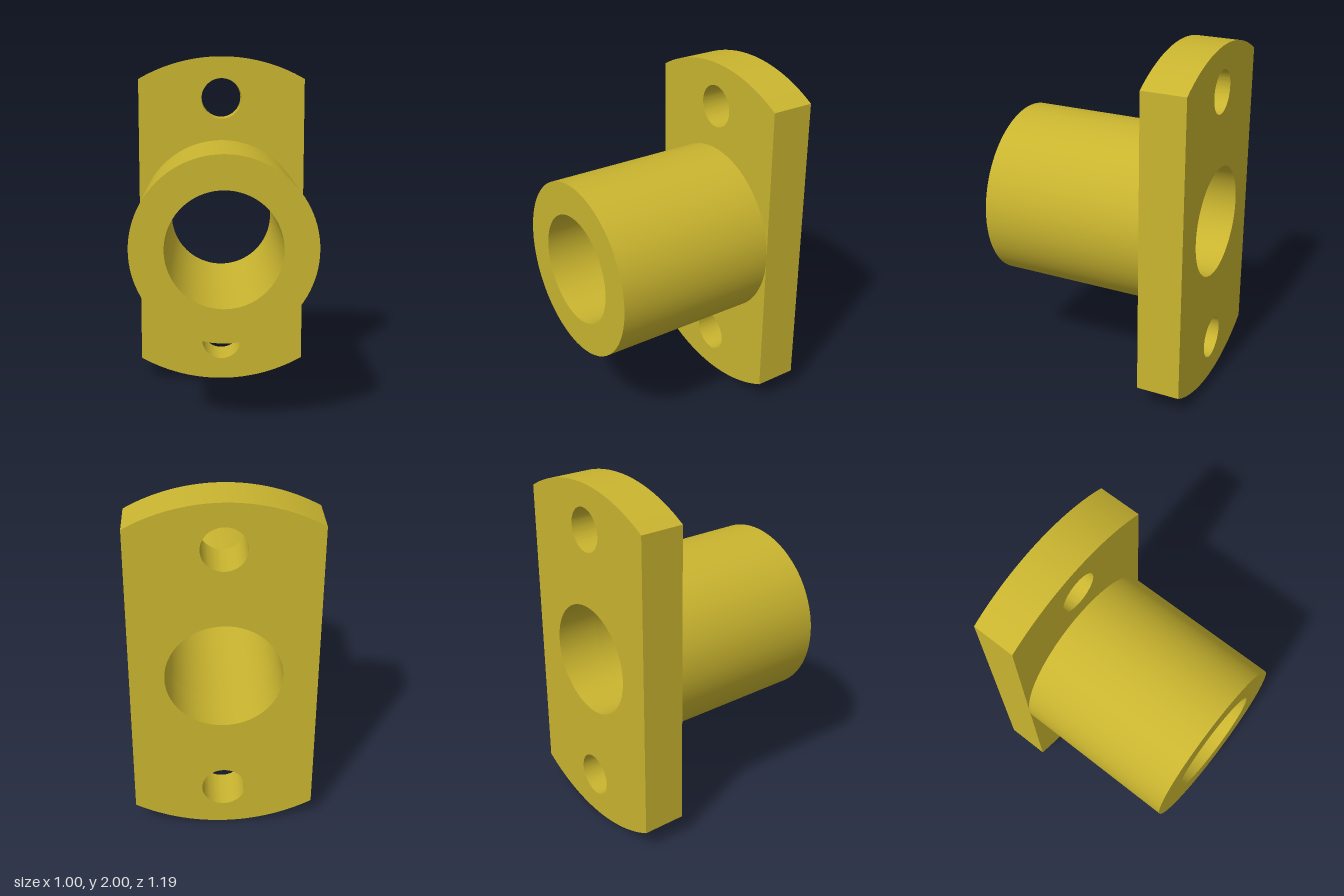
import * as THREE from 'three';
import { toCreasedNormals } from 'three/addons/utils/BufferGeometryUtils.js';

const CENTER_Y = 1;
const BORE = 0.314, BARREL = 0.5, BOLT = 0.121, BOLT_OFFSET = 0.75;
const BACK = -0.594, SEAT = -0.345, FRONT = 0.594;

function addHole(shape, y, radius) {
  shape.holes.push(new THREE.Path().absarc(0, y, radius, 0, Math.PI * 2, true));
}

// Extrude a profile between two depths, smooth round walls, keep edges sharp
function plate(name, shape, z0, z1, material) {
  const raw = new THREE.ExtrudeGeometry(shape, { depth: z1 - z0, bevelEnabled: false, curveSegments: 48 });
  const mesh = new THREE.Mesh(toCreasedNormals(raw, Math.PI / 7), material);
  mesh.name = name;
  mesh.position.set(0, CENTER_Y, z0);
  return mesh;
}

export function createModel() {
  const group = new THREE.Group();
  group.name = 'flangedBushing';
  const brass = new THREE.MeshStandardMaterial({ color: 0xc9b42f });
  brass.name = 'brass';

  // Flange: a disc of radius 1 with two sides cut flat
  const a = Math.acos(BARREL);
  const flange = new THREE.Shape();
  flange.absarc(0, 0, 1, a, Math.PI - a, false);
  flange.absarc(0, 0, 1, Math.PI + a, Math.PI * 2 - a, false);
  flange.closePath();
  addHole(flange, 0, BORE);
  for (const side of [1, -1]) addHole(flange, side * BOLT_OFFSET, BOLT);
  group.add(plate('flange', flange, BACK, SEAT, brass));

  // Hollow barrel
  const barrel = new THREE.Shape().absarc(0, 0, BARREL, 0, Math.PI * 2, false);
  addHole(barrel, 0, BORE);
  group.add(plate('barrel', barrel, SEAT, FRONT, brass));

  return group;
}
